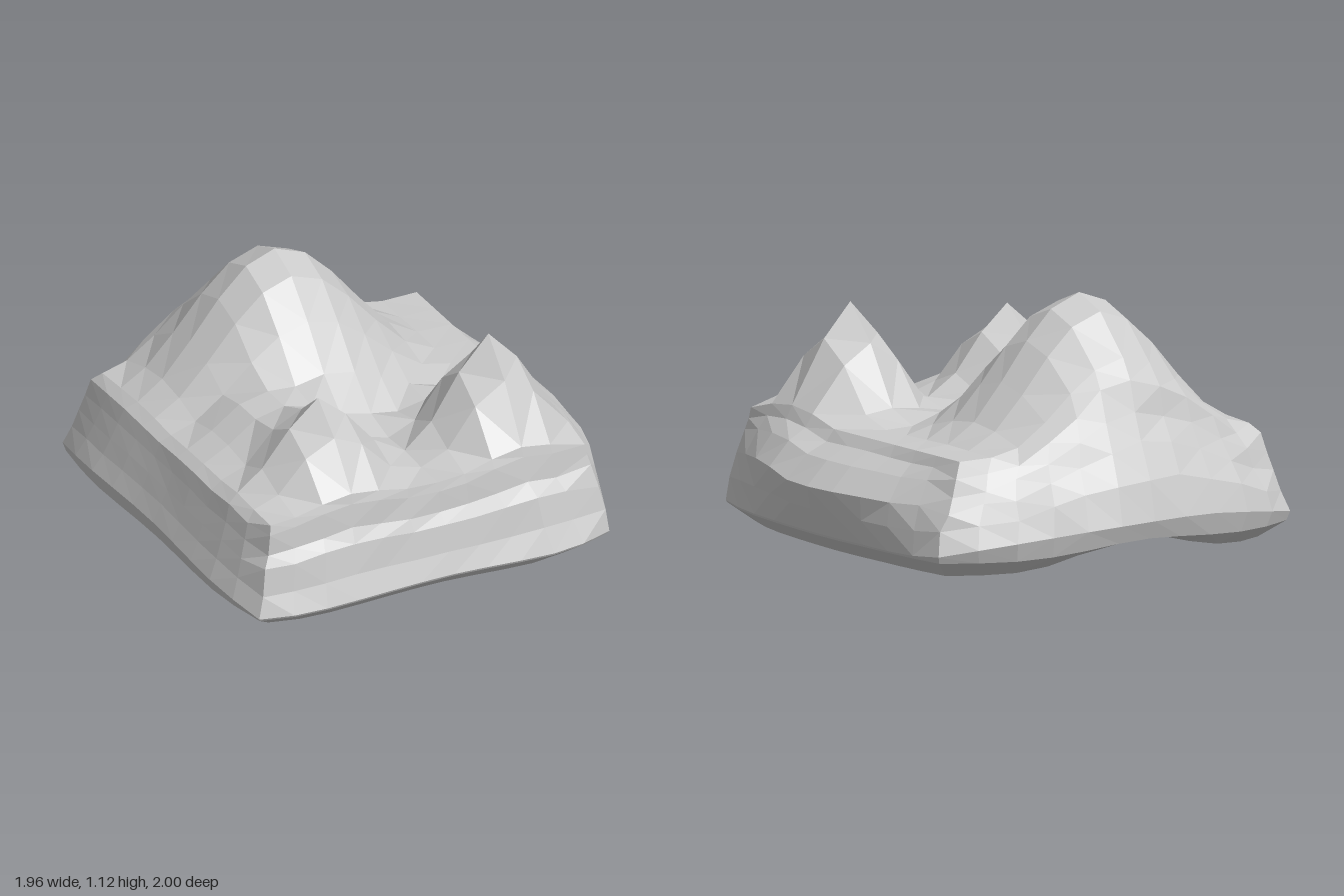
import * as THREE from 'three';

const XS = [-0.82, -0.70, -0.565, -0.425, -0.29, -0.15, 0, 0.13, 0.265, 0.41, 0.55, 0.72];
const ZS = [-0.69, -0.52, -0.365, -0.21, -0.06, 0.09, 0.24, 0.40, 0.55, 0.70, 0.855];
const BASE = 0.52;
const { lerp } = THREE.MathUtils;

// Piecewise-linear curve through [distance, value] pairs
function falloff(table, d) {
  for (let i = 1; i < table.length; i++) {
    const [d0, v0] = table[i - 1], [d1, v1] = table[i];
    if (d <= d1) return v0 + (v1 - v0) * (d - d0) / (d1 - d0);
  }
  return 0;
}
const PEAK = [[0, 1], [0.145, 0.68], [0.28, 0.25], [0.31, 0.12], [0.43, 0]];
const bell = t => (Math.abs(t) < 1 ? Math.cos(t * Math.PI / 2) ** 2 : 0);

// Height of the land: rounded mountain, two sharp peaks, a saddle joining the smaller one
function height(x, z) {
  const mountain = 0.6 * bell(Math.hypot(x + 0.15, z + 0.365) / 0.75);
  const right = 0.48 * falloff(PEAK, Math.hypot(x - 0.41, z - 0.55));
  const left = 0.38 * falloff(PEAK, Math.hypot(x + 0.425, z - 0.55));
  const saddle = z > 0 && z < 0.25 ? 0.19 * bell((x + 0.46) / (x < -0.46 ? 0.4 : 0.56)) : 0;
  return BASE + Math.max(mountain, right, left, saddle);
}

// Underside: a bowl below the mountain and an arch along the back edge
const mound = (x, z, cx, cz, rx, rz) => Math.exp(-(((x - cx) / rx) ** 2) - ((z - cz) / rz) ** 2);
const hollow = (x, z) =>
  0.2 * mound(x, z, -0.15, -0.45, 0.3, 0.28) + 0.1 * mound(x, z, -0.05, -0.95, 0.35, 0.25);

// Faceted mesh joining rows of points, split along the shorter diagonal; closed rows wrap around
function stitch(name, rows, closed) {
  const pos = [], n = rows[0].length;
  for (let j = 0; j + 1 < rows.length; j++) {
    for (let i = 0; i < (closed ? n : n - 1); i++) {
      const k = (i + 1) % n;
      const a = rows[j][i], b = rows[j + 1][i], c = rows[j + 1][k], d = rows[j][k];
      const tris = a.distanceTo(c) < b.distanceTo(d) ? [a, b, c, a, c, d] : [a, b, d, b, c, d];
      for (const p of tris) pos.push(p.x, p.y, p.z);
    }
  }
  const g = new THREE.BufferGeometry();
  g.setAttribute('position', new THREE.Float32BufferAttribute(pos, 3));
  g.computeVertexNormals();
  const mesh = new THREE.Mesh(g, new THREE.MeshStandardMaterial({
    color: 0xcccccc, flatShading: true, side: THREE.DoubleSide }));
  mesh.name = name;
  return mesh;
}

// Each side, in the order front, right, back, left: its lower outline, and the cliff
// profile as [outward, downward] fractions from the rim to that outline.
// A bulge gives the outward fractions at the middle of the side.
const SIDES = [
  {
    outline: [[-0.91, 0.11, 0.92], [-0.72, 0.11, 0.965], [0, 0.11, 0.955], [0.56, 0.11, 0.995], [0.80, 0.11, 0.93]],
    profile: [[0.08, 0.1], [0.18, 0.34], [0.48, 0.47], [0.68, 0.77], [1, 1]],
  },
  {
    outline: [[0.80, 0.11, 0.93], [0.87, 0.11, 0.70], [0.915, 0.11, 0.3], [0.93, 0.11, 0], [0.92, 0.11, -0.3], [0.91, 0.11, -0.55], [0.89, 0.13, -0.77]],
    profile: [[0.1, 0.12], [0.25, 0.24], [0.55, 0.48], [0.85, 0.74], [1, 1]],
    bulge: [0.19, 0.71, 1.24, 1.14, 1],
  },
  {
    outline: [[0.89, 0.13, -0.77], [0.62, 0.18, -0.94], [0.1, 0.21, -1], [-0.42, 0.21, -0.975], [-0.71, 0.18, -0.94], [-0.94, 0.14, -0.83]],
    profile: [[0.24, 0.14], [0.42, 0.34], [0.62, 0.52], [0.85, 0.74], [1, 1]],
  },
  {
    outline: [[-0.94, 0.14, -0.83], [-0.98, 0.18, -0.55], [-0.965, 0.18, 0], [-0.965, 0.15, 0.65], [-0.91, 0.11, 0.92]],
    profile: [[0.3, 0.11], [0.43, 0.32], [0.6, 0.54], [0.76, 0.76], [1, 1]],
  },
];

export function createModel() {
  const group = new THREE.Group();
  group.name = 'mountainBlock';

  // Land surface
  const grid = ZS.map(z => XS.map(x => new THREE.Vector3(x, height(x, z), z)));
  group.add(stitch('landSurface', grid, false));

  // Rim of the land, counter-clockwise from the front left corner
  const nx = XS.length - 1, nz = ZS.length - 1;
  const edges = [
    grid[nz],
    grid.map(r => r[nx]).reverse(),
    [...grid[0]].reverse(),
    grid.map(r => r[0]),
  ];

  // Layered cliffs: rings from the rim out to the lower outline, rougher at the back
  let seed = 7;
  const rand = () => (seed = (seed * 16807) % 2147483647) / 2147483647 - 0.5;
  const rings = [[], [], [], [], [], []];
  edges.forEach((edge, s) => {
    const { outline, profile, bulge } = SIDES[s];
    const curve = new THREE.CatmullRomCurve3(outline.map(p => new THREE.Vector3(...p)));
    for (let i = 0; i < edge.length - 1; i++) {
      const p = edge[i], u = i / (edge.length - 1), q = curve.getPointAt(u);
      rings[0].push(p);
      profile.forEach(([out, down], level) => {
        const f = bulge ? lerp(out, bulge[level], Math.sin(Math.PI * u)) : out;
        const rough = level === 4 ? 0 : s === 2 ? 0.03 : 0.008;
        rings[level + 1].push(new THREE.Vector3(
          lerp(p.x, q.x, f),
          lerp(p.y, q.y, down) + rand() * rough,
          lerp(p.z, q.z, f) + rand() * rough));
      });
    }
  });
  group.add(stitch('layeredCliffs', rings, true));

  // Undercut from the outline down to a lower edge
  const outer = rings[5];
  const lower = outer.map(q => {
    const k = 0.995 - (q.y - 0.11) * 0.27;
    return new THREE.Vector3(q.x * k, 0.1 + hollow(q.x, q.z) * 0.35, q.z * k);
  });
  group.add(stitch('undercut', [outer, lower], true));

  // Underside: rings shrinking to the middle, lifted by the hollow
  const under = [lower];
  for (const [k, y] of [[0.9, 0.025], [0.76, 0.012], [0.63, 0.006], [0.5, 0], [0.38, 0], [0.25, 0], [0.12, 0], [0, 0]]) {
    under.push(lower.map(q => {
      const x = q.x * k, z = q.z * k;
      return new THREE.Vector3(x, y + hollow(x, z), z);
    }));
  }
  group.add(stitch('underside', under, true));
  return group;
}
